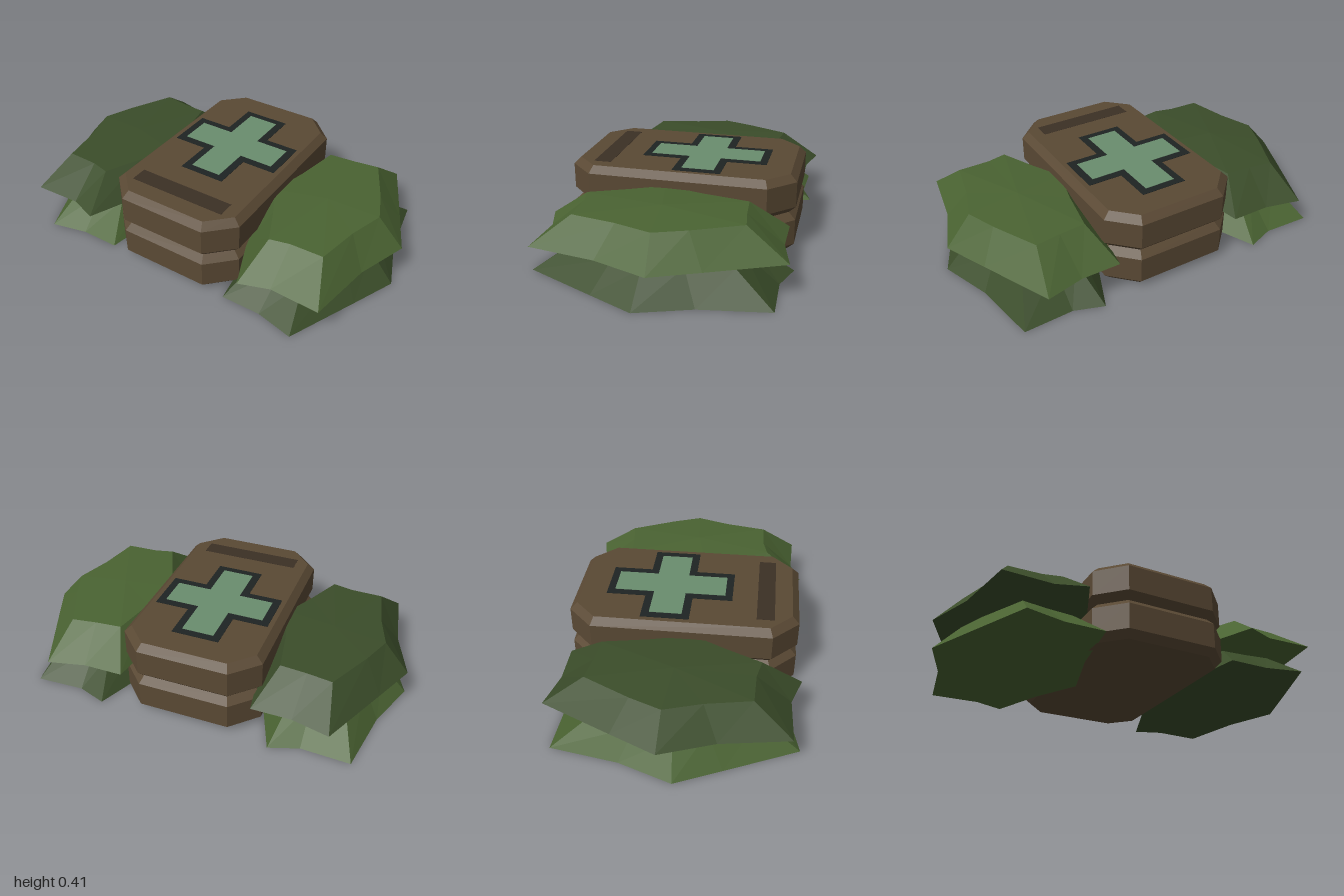
import * as THREE from 'three';

const mat = (color) => new THREE.MeshStandardMaterial({ color, flatShading: true, side: THREE.FrontSide });
const BROWN = mat(0x5a4934), LIGHT = mat(0x4a6332), DARK = mat(0x3b4d2a);
const BLACK = mat(0x1e2423), TEAL = mat(0x6a8d6e), STRIP = mat(0x3b3025);

// Skins a stack of equal-length rings (x, y, z points, running from +x to +z) and closes both ends
function loft(rings, bottom, top) {
  const pos = [];
  const tri = (...v) => v.forEach((p) => pos.push(p[0], p[1], p[2]));
  const n = rings[0].length;
  for (let i = 0; i < n; i++) {
    const j = (i + 1) % n;
    for (let k = 0; k + 1 < rings.length; k++) {
      const a = rings[k][i], b = rings[k][j], c = rings[k + 1][j], d = rings[k + 1][i];
      tri(a, d, b);
      tri(b, d, c);
    }
    const last = rings[rings.length - 1];
    tri(bottom, rings[0][i], rings[0][j]);
    tri(top, last[j], last[i]);
  }
  const geo = new THREE.BufferGeometry();
  geo.setAttribute('position', new THREE.Float32BufferAttribute(pos, 3));
  geo.computeVertexNormals();
  return geo;
}

function addMesh(group, name, geo, material, y = 0) {
  const mesh = new THREE.Mesh(geo, material);
  mesh.name = name;
  mesh.position.y = y;
  group.add(mesh);
  return mesh;
}

// Octagonal outline inset by d at height y
function octagon(y, d) {
  const w = 0.365 - d, l = 0.585 - d, c = 0.13 - 0.586 * d;
  return [[w, l - c], [w - c, l], [c - w, l], [-w, l - c],
    [-w, c - l], [c - w, -l], [w - c, -l], [w, c - l]].map(([x, z]) => [x, y, z]);
}

// Bevelled slab of the case
function caseGeometry() {
  const rings = [octagon(0, 0.035), octagon(0.036, 0), octagon(0.168, 0), octagon(0.203, 0.035)];
  return loft(rings, [0, 0, 0], [0, 0.203, 0]);
}

// Star outline of a leaf clump, relative to its middle: tips and valleys alternate
const LEAF = [[0.4, -0.035], [0.305, 0.23], [0.25, 0.57], [0, 0.56], [-0.15, 0.612], [-0.265, 0.33],
  [-0.4, 0.09], [-0.31, -0.22], [-0.255, -0.57], [-0.05, -0.57], [0.14, -0.615], [0.3, -0.26]];

function leafGeometry(sx, sz) {
  const ring = (y, tip, valley) => {
    const pts = LEAF.map(([x, z], i) => {
      const s = i % 2 ? valley : tip;
      return [sx * (0.6 + x * s), y, sz * z * s];
    });
    return sx * sz < 0 ? pts.reverse() : pts;
  };
  return loft([ring(0, 1, 1), ring(0.147, 0.67, 0.69)], [sx * 0.6, 0, 0], [sx * 0.6, 0.163, 0]);
}

// Flat plus sign: arm half-lengths along x and z, and half-width of the arms
function plusGeometry(ax, az, w, depth) {
  const pts = [[ax, -w], [ax, w], [w, w], [w, az], [-w, az], [-w, w],
    [-ax, w], [-ax, -w], [-w, -w], [-w, -az], [w, -az], [w, -w]];
  const shape = new THREE.Shape(pts.map(([x, y]) => new THREE.Vector2(x, y)));
  return new THREE.ExtrudeGeometry(shape, { depth, bevelEnabled: false }).rotateX(-Math.PI / 2);
}

export function createModel() {
  const model = new THREE.Group();
  model.name = 'fieldKit';

  // Two stacked slabs
  addMesh(model, 'lowerCase', caseGeometry(), BROWN);
  addMesh(model, 'upperCase', caseGeometry(), BROWN, 0.203);

  // Leaf clumps on both sides, upper layer flipped front to back against the lower
  for (const [side, sx] of [['left', 1], ['right', -1]]) {
    addMesh(model, side + 'LowerLeaves', leafGeometry(sx, -1), sx > 0 ? DARK : LIGHT);
    addMesh(model, side + 'UpperLeaves', leafGeometry(sx, 1), sx > 0 ? LIGHT : DARK, 0.182);
  }

  // Lid markings
  addMesh(model, 'crossBorder', plusGeometry(0.305, 0.328, 0.123, 0.003), BLACK, 0.405).position.z = -0.088;
  addMesh(model, 'cross', plusGeometry(0.265, 0.29, 0.083, 0.003), TEAL, 0.407).position.z = -0.088;
  addMesh(model, 'lidStrip', new THREE.BoxGeometry(0.53, 0.004, 0.09), STRIP, 0.405).position.z = 0.415;

  return model;
}
